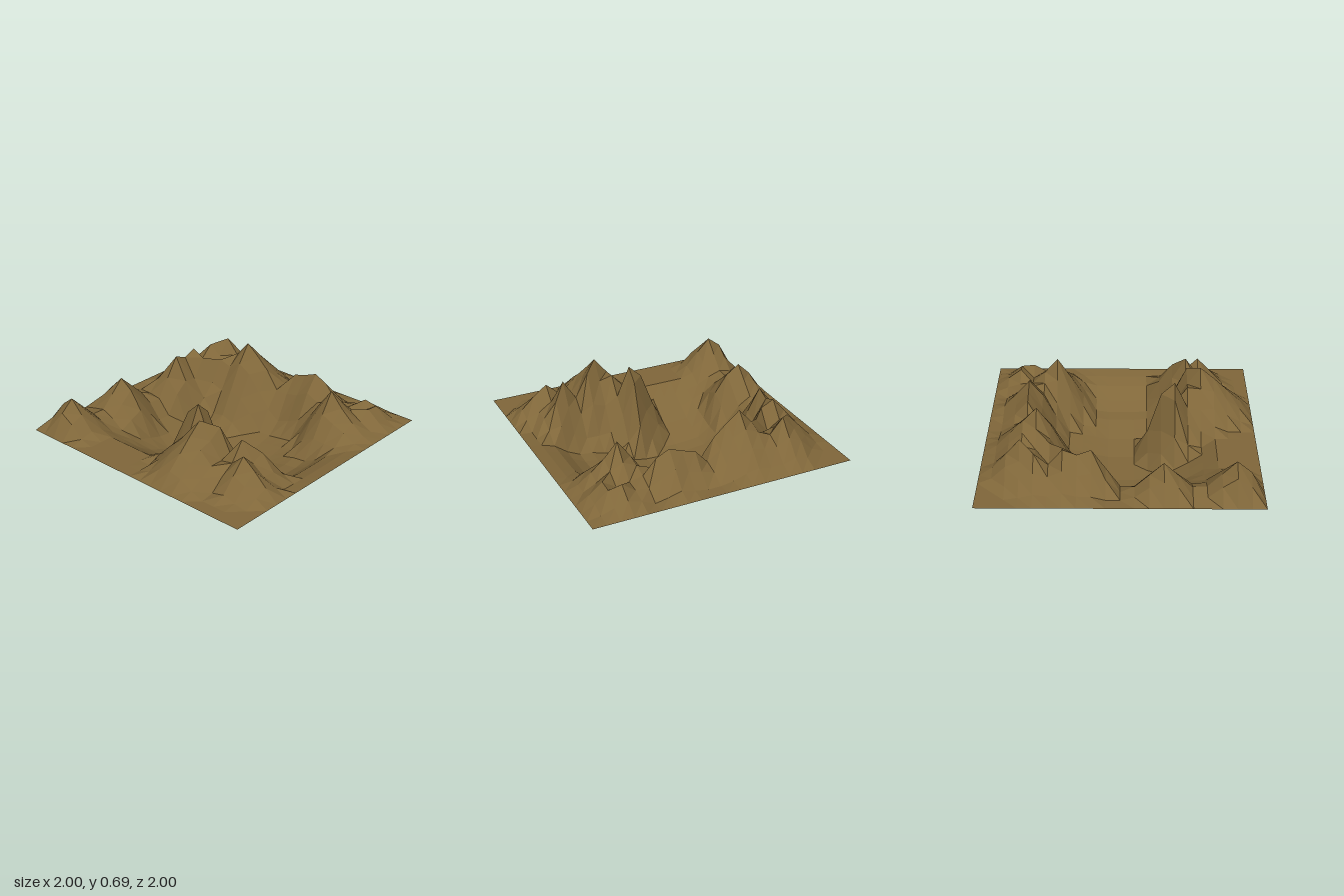
import * as THREE from 'three';

const GROUND = 0.3;

// Depth of the central basin (0..1) along x and along z, as [position, depth]
const basinX = [[-0.8, 0], [-0.7, 0.15], [-0.5, 0.7], [-0.4, 0.95], [-0.2, 1], [0.1, 0.96],
  [0.3, 0.83], [0.5, 0.64], [0.6, 0.6], [0.7, 0.43], [0.8, 0.17], [0.95, 0]];
const basinZ = [[-0.65, 0], [-0.6, 0.12], [-0.5, 0.45], [-0.4, 0.76], [-0.3, 0.83], [-0.1, 1], [0.1, 1],
  [0.2, 0.95], [0.4, 0.68], [0.5, 0.48], [0.6, 0.25], [0.7, 0]];

// Mountain ranges: summits as [x, z, height, foot radius]
const ranges = [
  // north-west massif
  [[-0.3, -0.6, 0.68, 0.36], [-0.2, -0.6, 0.6, 0.25], [-0.1, -0.6, 0.51, 0.18], [-0.6, -0.7, 0.6, 0.26],
    [-0.7, -0.6, 0.55, 0.24], [-0.5, -0.5, 0.51, 0.22], [-0.4, -0.7, 0.53, 0.25], [-0.1, -0.7, 0.46, 0.22]],
  // west ridge
  [[-0.7, -0.4, 0.58, 0.25], [-0.6, -0.4, 0.53, 0.2], [-0.7, -0.3, 0.54, 0.22], [-0.7, -0.2, 0.58, 0.22],
    [-0.8, 0.3, 0.54, 0.25], [-0.7, 0.3, 0.47, 0.2]],
  // south-west hill
  [[-0.8, 0.8, 0.555, 0.25], [-0.9, 0.8, 0.48, 0.2], [-0.8, 0.9, 0.47, 0.16]],
  // south-east massif
  [[0.1, 0.4, 0.665, 0.24], [0, 0.4, 0.57, 0.18], [0.1, 0.3, 0.57, 0.17], [0.3, 0.6, 0.685, 0.36],
    [0.4, 0.5, 0.63, 0.22], [0.2, 0.5, 0.57, 0.2], [0.3, 0.7, 0.6, 0.32]],
  // east hill
  [[0.6, 0.5, 0.605, 0.25], [0.7, 0.6, 0.555, 0.24], [0.7, 0.4, 0.5, 0.2], [0.8, 0.6, 0.48, 0.2]],
  // north-east ridge
  [[0.1, -0.7, 0.5, 0.18], [0.2, -0.7, 0.53, 0.19], [0.3, -0.7, 0.57, 0.24], [0.4, -0.7, 0.52, 0.2],
    [0.6, -0.5, 0.6, 0.28], [0.7, -0.5, 0.49, 0.25], [0.7, -0.8, 0.45, 0.2], [0.8, -0.7, 0.44, 0.18],
    [0.8, -0.8, 0.43, 0.16]],
].flat();

// Piecewise linear lookup, zero outside the profile
function sample(profile, t) {
  for (let i = 1; i < profile.length; i++) {
    const [a, va] = profile[i - 1], [b, vb] = profile[i];
    if (t >= a && t <= b) return THREE.MathUtils.lerp(va, vb, (t - a) / (b - a));
  }
  return 0;
}

function heightAt(x, z) {
  // The outer border stays level
  if (Math.max(Math.abs(x), Math.abs(z)) > 0.99) return GROUND;
  const base = GROUND * (1 - sample(basinX, x) * sample(basinZ, z));
  let y = base;
  for (const [px, pz, h, r] of ranges) {
    const k = 1 - Math.hypot(x - px, z - pz) / r;
    if (k > 0) y = Math.max(y, THREE.MathUtils.lerp(base, h, k));
  }
  return y;
}

export function createModel() {
  const group = new THREE.Group();
  group.name = 'landscape';

  // Square sheet, raised and lowered on a 0.1 grid
  const sheet = new THREE.PlaneGeometry(2, 2, 20, 20).rotateX(-Math.PI / 2);
  const pos = sheet.attributes.position;
  for (let i = 0; i < pos.count; i++) {
    const x = Math.round(pos.getX(i) * 10) / 10;
    const z = Math.round(pos.getZ(i) * 10) / 10;
    pos.setXYZ(i, x, heightAt(x, z), z);
  }
  const geometry = sheet.toNonIndexed();
  geometry.computeVertexNormals();

  const material = new THREE.MeshStandardMaterial({
    color: 0x80673a, flatShading: true, side: THREE.DoubleSide,
  });
  const terrain = new THREE.Mesh(geometry, material);
  terrain.name = 'terrain';
  group.add(terrain);
  return group;
}
